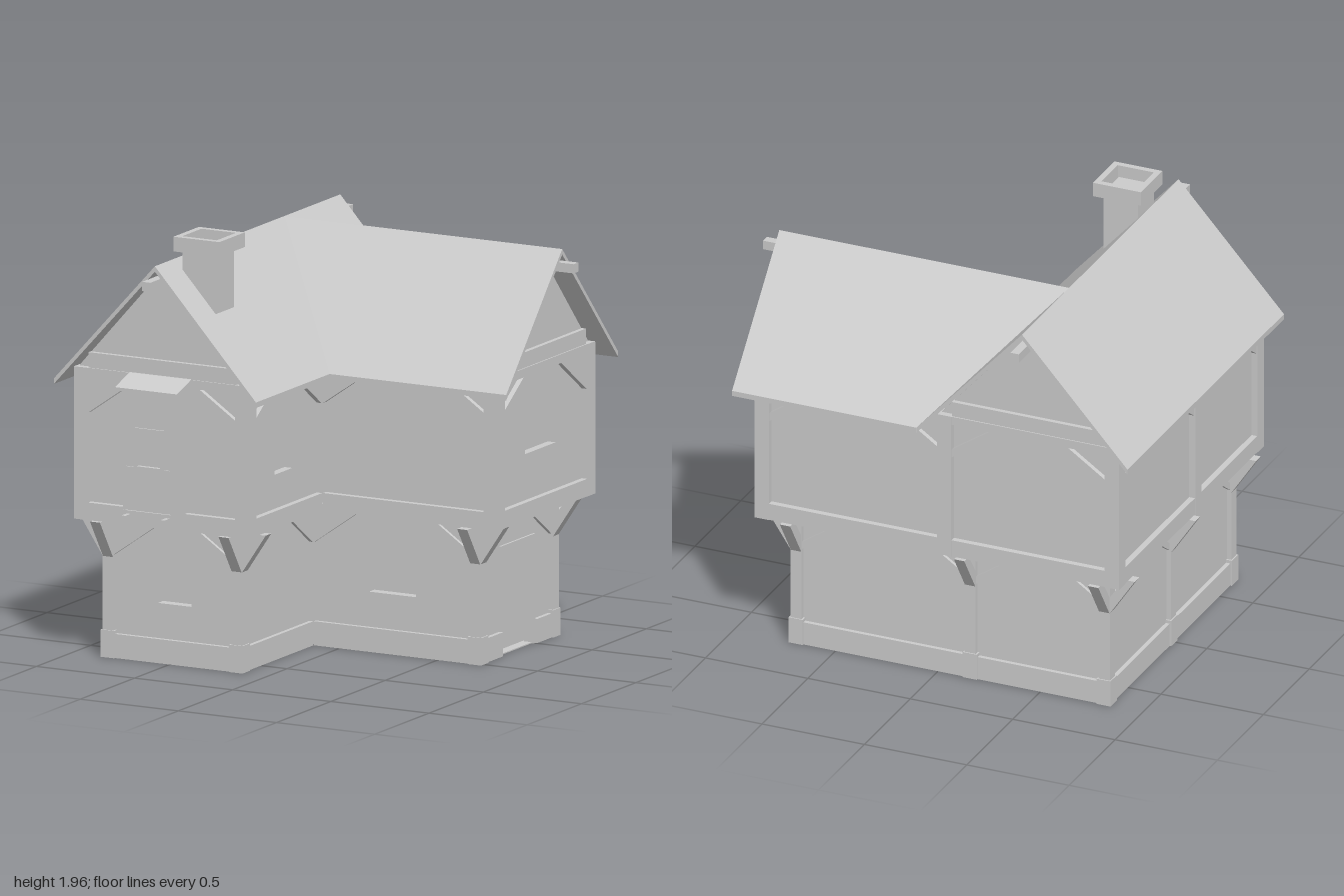
import * as THREE from 'three';

const mat = new THREE.MeshStandardMaterial({ color: 0xcccccc, flatShading: true });

function add(parent, name, geometry) {
  const mesh = new THREE.Mesh(geometry, mat);
  mesh.name = name;
  parent.add(mesh);
  return mesh;
}

// Box given by its min and max on each axis
function box(parent, name, x0, x1, y0, y1, z0, z1) {
  const mesh = add(parent, name, new THREE.BoxGeometry(Math.abs(x1 - x0), y1 - y0, Math.abs(z1 - z0)));
  mesh.position.set((x0 + x1) / 2, (y0 + y1) / 2, (z0 + z1) / 2);
  return mesh;
}

const toShape = (pts) => new THREE.Shape(pts.map(([x, y]) => new THREE.Vector2(x, y)));
const rect = (x0, x1, y0, y1) => [[x0, y0], [x1, y0], [x1, y1], [x0, y1]];

// Extruded outline, running from z0 to z1, with optional holes
function slab(parent, name, pts, z0, z1, holes = []) {
  const shape = toShape(pts);
  shape.holes = holes.map((h) => toShape(h));
  const geometry = new THREE.ExtrudeGeometry(shape, { depth: z1 - z0, bevelEnabled: false });
  geometry.translate(0, 0, z0);
  return add(parent, name, geometry);
}

// Roof measures
const RIDGE = 1.85, EAVE = 1.283, HALF = 0.515, THICK = 0.025;
const RX = -0.485, RZ = -0.352;
const slope = (RIDGE - EAVE) / HALF;

// The two storeys: lines of the L-shaped plan and heights
const lower = {
  name: 'ground', X: [-0.84, -0.13, 0.72], Z: [-0.70, 0.02, 0.68],
  y0: 0, y1: 0.64, post: 0.055, rail: 0.11, top: 0.62, inset: 0.022,
};
const upper = {
  name: 'upper', X: [-0.93, -0.04, 0.85], Z: [-0.80, 0.10, 0.78],
  y0: 0.64, y1: 1.335, post: 0.07, rail: 0.08, top: 1.295, inset: 0.03,
};

// Walls as [from x, from z, to x, to z] plan indices, post at start, post at end, gabled
const walls = {
  front: [0, 2, 1, 2, 1, 1, 1],
  innerSide: [1, 2, 1, 1, 1, 0, 0],
  wingFront: [1, 1, 2, 1, 0, 1, 0],
  wingEnd: [2, 1, 2, 0, 1, 1, 1],
  wingBack: [2, 0, 1, 0, 1, 0, 0],
  back: [1, 0, 0, 0, 1, 1, 1],
  farSideBack: [0, 0, 0, 1, 1, 1, 0],
  farSideFront: [0, 1, 0, 2, 0, 1, 0],
};

// Openings per wall: u0, u1, y0, y1 measured along the wall
const windows = {
  ground: { front: [0.27, 0.44, 0.27, 0.43], wingFront: [0.27, 0.51, 0.27, 0.46] },
  upper: { innerSide: [0.29, 0.455, 0.875, 1.015], wingEnd: [0.31, 0.59, 0.93, 1.14] },
};
const door = [0.21, 0.525, 0.005, 0.5];

function buildWall(parent, s, key) {
  const [ax, az, bx, bz, hasL, hasR, gabled] = walls[key];
  const x = s.X[ax], z = s.Z[az], dx = s.X[bx] - x, dz = s.Z[bz] - z;
  const w = Math.hypot(dx, dz);
  const g = new THREE.Group();
  g.name = `${s.name} ${key} wall`;
  g.position.set(x, 0, z);
  g.rotation.y = Math.atan2(-dz, dx);
  parent.add(g);

  const isGable = gabled && s === upper;
  const isDoor = s === lower && key === 'wingEnd';
  const u0 = hasL ? s.post : 0, u1 = w - (hasR ? s.post : 0);
  const p0 = hasL ? 0.01 : -0.05, p1 = hasR ? w - 0.01 : w + 0.05;

  // recessed infill panel, with its opening
  const outline = rect(p0, p1, s.y0, s.y1);
  if (isGable) outline.splice(3, 0, [w / 2, RIDGE - THICK]);
  const opening = windows[s.name][key] || (isDoor ? door : null);
  slab(g, 'infill panel', outline, -s.inset - 0.02, -s.inset, opening ? [rect(...opening)] : []);
  if (opening) {
    const [a, b, c, d] = opening;
    box(g, isDoor ? 'door' : 'window pane', a - 0.01, b + 0.01, Math.max(0, c - 0.01), d + 0.01, -0.09, -0.07);
    slab(g, 'opening reveal', rect(a - 0.01, b + 0.01, Math.max(0, c - 0.01), d + 0.01), -0.075, -s.inset - 0.01, [rect(a, b, c, d)]);
  }

  // sill and head beams
  const sills = isDoor ? [[u0, door[0]], [door[1], u1]] : [[u0, u1]];
  for (const [a, b] of sills) box(g, 'sill beam', a, b, s.y0, s.y0 + s.rail, -0.045, -0.002);
  box(g, 'head beam', u0, u1, s.top, s.y1, -0.045, -0.002);
  if (isGable) box(g, 'gable beam', u0, u1, s.y1, 1.405, -0.045, -0.008);
  if (isDoor) {
    const [a, b, , d] = door;
    slab(g, 'door frame', [[a, 0], [a + 0.016, 0], [a + 0.016, d - 0.016], [b - 0.016, d - 0.016],
      [b - 0.016, 0], [b, 0], [b, d], [a, d]], -0.06, -0.012);
  }

  // knee braces in both upper corners
  const k = s === lower ? 0.9 : 1;
  for (const [u, m] of [[u0, 1], [u1, -1]]) {
    const pts = [[0, -0.165], [0.235, 0], [0.185, 0], [0, -0.125]].map(([a, b]) => [u + m * a * k, s.top + b * k]);
    slab(g, 'knee brace', pts, -0.045, -0.006);
  }
}

// Posts as [x index, z index, inward x, inward z, bracket along x, bracket along z]
const posts = [
  [0, 0, 1, 1, 1, 1], [1, 0, -1, 1, 0, 1], [2, 0, -1, 1, 1, 1], [0, 1, 1, -1, 1, 0],
  [2, 1, -1, -1, 1, 1], [0, 2, 1, -1, 1, 1], [1, 2, -1, -1, 1, 1],
];

function buildPosts(parent, s) {
  for (const [ix, iz, sx, sz, bracketX, bracketZ] of posts) {
    const x = s.X[ix], z = s.Z[iz], p = s.post;
    box(parent, `${s.name} post`, x, x + sx * p, s.y0, s.y1, z, z + sz * p);
    if (s === upper) continue;
    box(parent, 'post foot', x - sx * 0.006, x + sx * (p + 0.008), 0, 0.125, z - sz * 0.006, z + sz * (p + 0.008));
    // slanted brackets that carry the overhanging storey
    const profile = [[-0.01, 0.445], [0, 0.46], [0.12, 0.64], [0.07, 0.64], [0, 0.54], [-0.01, 0.53]];
    const bracket = (cx, cz, angle) => {
      const m = slab(parent, 'jetty bracket', profile, -p / 2 + 0.002, p / 2 - 0.002);
      m.position.set(cx, 0, cz);
      m.rotation.y = angle;
    };
    if (bracketX) bracket(x, z + sz * p / 2, sx > 0 ? Math.PI : 0);
    if (bracketZ) bracket(x + sx * p / 2, z, sz > 0 ? Math.PI / 2 : -Math.PI / 2);
  }
}

function buildRoof(parent) {
  const chevron = [[-HALF, EAVE], [-HALF, EAVE - THICK], [0, RIDGE - THICK], [HALF, EAVE - THICK], [HALF, EAVE], [0, RIDGE]];
  slab(parent, 'main roof', chevron, -0.865, 0.84).position.x = RX;
  // wing roof: its inner end is mitred along the valleys
  const wing = slab(parent, 'wing roof', chevron, 0, 0.93 - RX);
  const pos = wing.geometry.attributes.position;
  for (let i = 0; i < pos.count; i++) {
    if (pos.getZ(i) < 0.001) pos.setZ(i, Math.abs(pos.getX(i)));
  }
  wing.geometry.computeVertexNormals();
  wing.rotation.y = Math.PI / 2;
  wing.position.set(RX, 0, RZ);

  // ridge beam ends
  const h = 0.021;
  box(parent, 'front ridge beam', RX - h, RX + h, 1.75, 1.792, 0.7, 0.92);
  box(parent, 'back ridge beam', RX - h, RX + h, 1.75, 1.792, -0.945, -0.7);
  box(parent, 'wing ridge beam', 0.75, 1.0, 1.75, 1.792, RZ - h, RZ + h);

  // chimney with hollow cap
  box(parent, 'chimney shaft', -0.445, -0.275, 1.5, 1.9, 0.49, 0.66);
  const cap = slab(parent, 'chimney cap', rect(-0.117, 0.117, -0.117, 0.117), 0, 0.067, [rect(-0.088, 0.088, -0.088, 0.088)]);
  cap.rotation.x = -Math.PI / 2;
  cap.position.set(-0.357, 1.89, 0.572);
}

// Projecting window bay on the front gable
function buildBay(parent) {
  const g = new THREE.Group();
  g.name = 'window bay';
  parent.add(g);
  const x0 = -0.62, x1 = -0.368, zf = 0.89;
  slab(g, 'bay face', rect(x0, x1, 0.72, 1.3), zf - 0.03, zf - 0.008,
    [rect(-0.555, -0.425, 0.935, 1.105)]);
  box(g, 'bay body', x0 + 0.004, x1 - 0.004, 0.72, 1.3, 0.74, zf - 0.04);
  for (const x of [x0, x1 - 0.012]) box(g, 'bay stile', x, x + 0.012, 0.72, 1.3, 0.75, zf);
  box(g, 'bay rail', x0, x1, 0.918, 0.935, 0.8, zf - 0.001);
  box(g, 'bay base', x0, x1, 0.715, 0.735, 0.75, zf + 0.002);
  slab(g, 'bay window frame', rect(-0.565, -0.415, 0.935, 1.115), zf - 0.02, zf, [rect(-0.55, -0.43, 0.94, 1.1)]);
  for (const x of [-0.59, -0.39]) box(g, 'bay joist', x - 0.01, x + 0.01, 0.695, 0.72, 0.74, 0.94);
  // sloping lid, profile in z and y
  const lid = slab(g, 'bay roof', [[0.74, 1.29], [0.912, 1.28], [0.912, 1.295], [0.78, 1.337], [0.74, 1.337]], 0, 0.315);
  lid.rotation.y = -Math.PI / 2;
  lid.position.x = -0.333;
}

export function createModel() {
  const house = new THREE.Group();
  house.name = 'timber framed house';
  for (const s of [lower, upper]) {
    for (const key of Object.keys(walls)) buildWall(house, s, key);
    buildPosts(house, s);
  }
  // L-shaped floor of the overhanging storey
  const { X, Z } = upper, e = 0.004;
  const plan = [[X[0] + e, -Z[2] + e], [X[1] - e, -Z[2] + e], [X[1] - e, -Z[1] + e],
    [X[2] - e, -Z[1] + e], [X[2] - e, -Z[0] - e], [X[0] + e, -Z[0] - e]];
  const floor = slab(house, 'upper floor', plan, 0.642, 0.67);
  floor.rotation.x = -Math.PI / 2;
  buildRoof(house);
  buildBay(house);
  return house;
}
